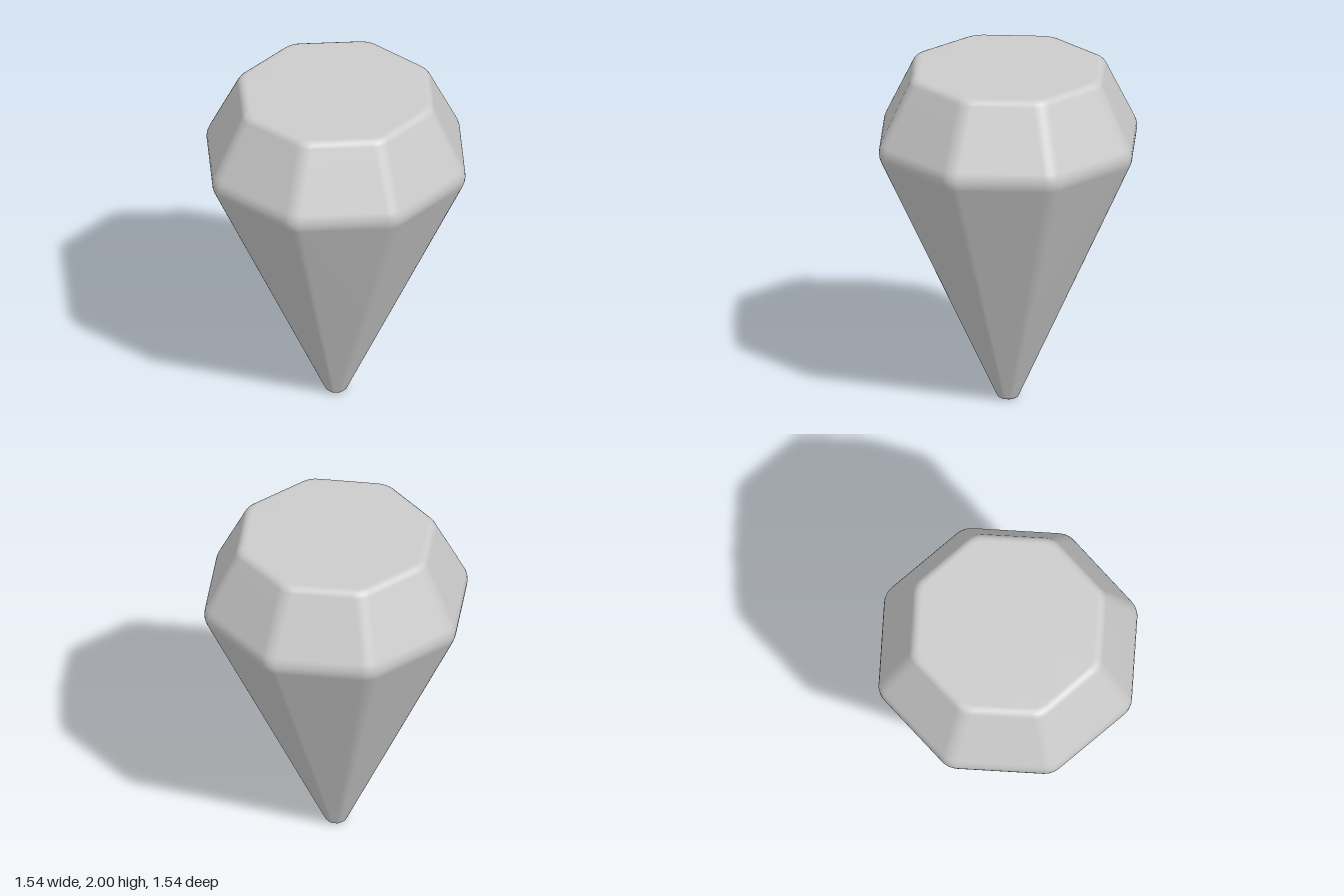
import * as THREE from 'three';

const SIDES = 8, STEPS = 4;

// Rounds the corner b between a and c, starting `size` away from it
function roundCorner(a, b, c, size) {
  const from = b.clone().add(a.clone().sub(b).setLength(size));
  const to = b.clone().add(c.clone().sub(b).setLength(size));
  return new THREE.QuadraticBezierCurve(from, b, to).getPoints(STEPS);
}

// Octagon with softened corners; its corners reach radius r
function ringPoints(r) {
  const side = 2 * r * Math.sin(Math.PI / SIDES);
  const size = Math.min(0.05, side * 0.3);
  const sharp = r + size * Math.sin(Math.PI / SIDES) / 2;
  const corner = (i) => {
    const a = (i / SIDES) * Math.PI * 2;
    return new THREE.Vector2(Math.cos(a) * sharp, Math.sin(a) * sharp);
  };
  const points = [];
  for (let i = 0; i < SIDES; i++) {
    points.push(...roundCorner(corner(i - 1), corner(i), corner(i + 1), size));
  }
  return points;
}

// Stacks the rings along the profile and closes both ends
function gemGeometry(profile) {
  const positions = [], index = [];
  const n = SIDES * (STEPS + 1);
  for (const { x: r, y } of profile) {
    for (const p of ringPoints(r)) positions.push(p.x, y, -p.y);
  }
  const last = (profile.length - 1) * n;
  const bottom = profile.length * n, top = bottom + 1;
  positions.push(0, profile[0].y, 0, 0, profile[profile.length - 1].y, 0);
  for (let j = 0; j < n; j++) {
    const k = (j + 1) % n;
    for (let row = 0; row < last; row += n) {
      index.push(row + j, row + k, row + n + k, row + j, row + n + k, row + n + j);
    }
    index.push(bottom, k, j, top, last + j, last + k);
  }
  const geometry = new THREE.BufferGeometry();
  geometry.setAttribute('position', new THREE.Float32BufferAttribute(positions, 3));
  geometry.setIndex(index);
  geometry.computeVertexNormals();
  return geometry;
}

export function createModel() {
  const group = new THREE.Group();
  group.name = 'gem';

  // Profile: small flat tip, wide girdle, flat table
  const v = (x, y) => new THREE.Vector2(x, y);
  const base = v(0, 0), tip = v(0.056, 0), girdle = v(0.782, 1.566);
  const table = v(0.567, 2), centre = v(0, 2);
  const profile = [
    ...roundCorner(base, tip, girdle, 0.02),
    ...roundCorner(tip, girdle, table, 0.06),
    ...roundCorner(girdle, table, centre, 0.04),
  ];

  const gem = new THREE.Mesh(
    gemGeometry(profile),
    new THREE.MeshStandardMaterial({ color: 0xcccccc })
  );
  gem.name = 'cutStone';
  group.add(gem);
  return group;
}
